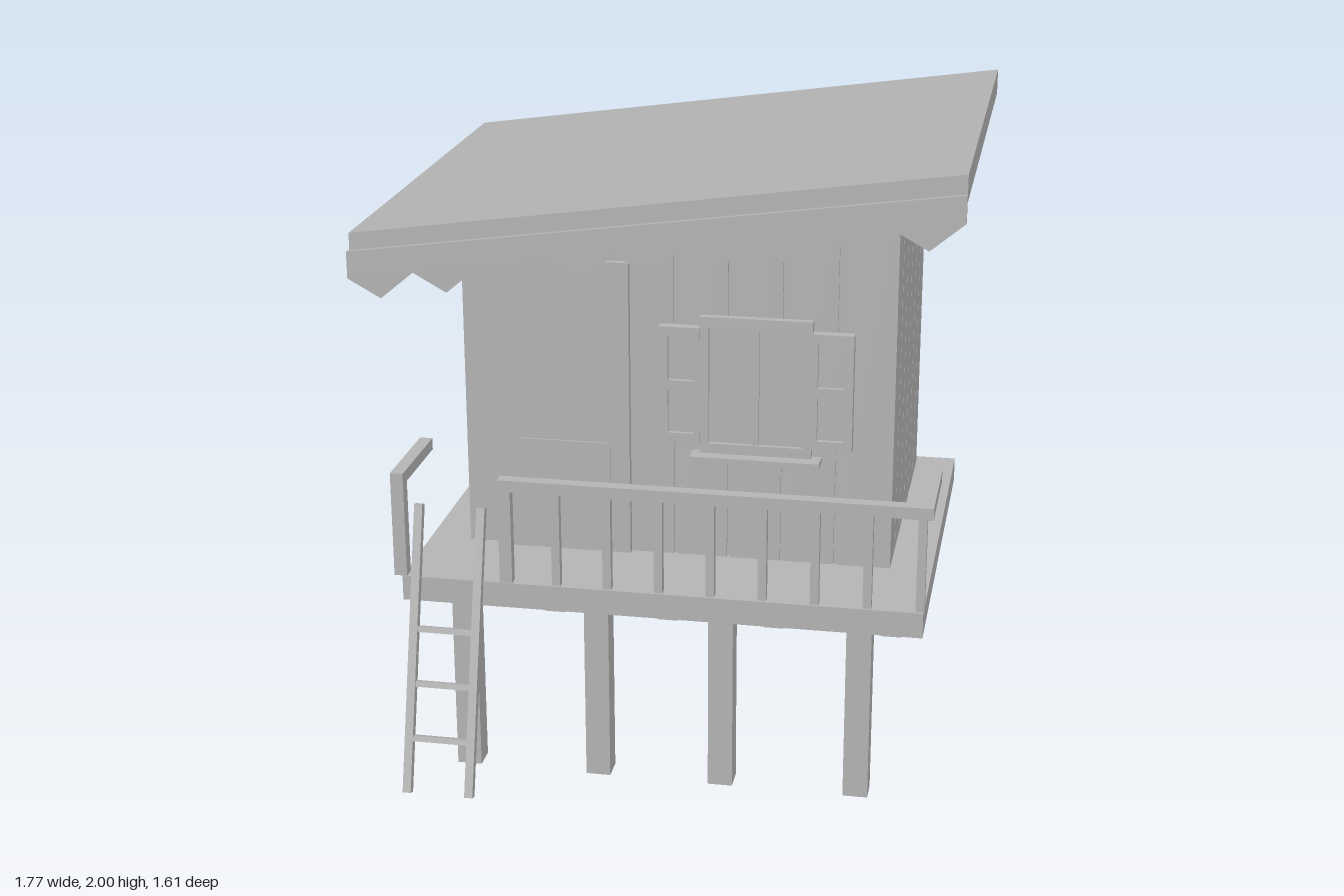
import * as THREE from 'three';

export function createModel() {
  const root = new THREE.Group();
  root.name = 'stiltCabin';
  const grey = new THREE.MeshStandardMaterial({ color: 0xb8b8b8 });
  grey.name = 'plain grey';

  const section = (name) => {
    const g = new THREE.Group();
    g.name = name;
    root.add(g);
    return g;
  };
  // Box given by its minimum and maximum on each axis
  const box = (parent, name, x0, x1, y0, y1, z0, z1) => {
    const m = new THREE.Mesh(new THREE.BoxGeometry(x1 - x0, y1 - y0, z1 - z0), grey);
    m.position.set((x0 + x1) / 2, (y0 + y1) / 2, (z0 + z1) / 2);
    m.name = name;
    parent.add(m);
    return m;
  };
  // Outline in x and y, extruded from z0 to z1
  const slab = (parent, name, points, z0, z1) => {
    const shape = new THREE.Shape(points.map(([x, y]) => new THREE.Vector2(x, y)));
    const geo = new THREE.ExtrudeGeometry(shape, { depth: z1 - z0, bevelEnabled: false });
    const m = new THREE.Mesh(geo, grey);
    m.position.z = z0;
    m.name = name;
    parent.add(m);
  };

  // Platform on eight stilts
  const base = section('platform');
  box(base, 'deck', -0.8, 0.8, 0.565, 0.645, -0.72, 0.6);
  for (const x of [-0.61, -0.195, 0.19, 0.61])
    for (const z of [0.55, -0.615])
      box(base, 'stilt', x - 0.038, x + 0.038, 0.01, 0.57, z - 0.038, z + 0.038);

  // Cabin core with planks on the front and both sides
  const cabin = section('cabin');
  const floor = 0.645, top = 1.778;
  box(cabin, 'walls', -0.66, 0.66, floor, top - 0.002, -0.665, 0.27);
  for (let i = 0; i < 8; i++) {
    const x = -0.67 + i * 0.1675;
    const end = Math.min(x + 0.1575, 0.67);
    box(cabin, 'frontPlank', x, i === 7 ? 0.67 : end, floor, top, 0.265, 0.28);
  }
  for (const s of [-1, 1])
    for (let i = 0; i < 6; i++) {
      const z = -0.665 + i * 0.1575;
      const x = s * 0.6625;
      box(cabin, 'sidePlank', x - 0.0075, x + 0.0075, floor, top, z, z + (i === 5 ? 0.1575 : 0.15));
    }

  // Sloping roof
  slab(root, 'roof', [[-0.885, 1.675], [0.885, 1.92], [0.885, 2], [-0.885, 1.752]], -0.81, 0.69);

  // Zigzag fringe under the front eave
  const teeth = 9, pitch = 1.775 / teeth;
  const fringe = [[0.885, 1.945], [-0.89, 1.7]];
  for (let i = 0; i <= teeth; i++) {
    const x = -0.89 + i * pitch, y = 1.62 + i * 0.0272;
    fringe.push([x, y]);
    if (i < teeth) fringe.push([x + pitch / 2, y - 0.055]);
  }
  slab(root, 'fringe', fringe, 0.69, 0.706);

  // Door with a raised lower panel
  const door = section('door');
  box(door, 'doorLeaf', -0.53, -0.145, floor, 1.59, 0.275, 0.302);
  box(door, 'doorPanel', -0.495, -0.205, 0.73, 1.01, 0.3, 0.308);

  // Window with frame, mullion, sill and open shutters
  const win = section('window');
  box(win, 'pane', 0.08, 0.415, 1, 1.42, 0.275, 0.29);
  box(win, 'frameTop', 0.075, 0.42, 1.4, 1.435, 0.28, 0.305);
  box(win, 'frameBottom', 0.075, 0.42, 0.99, 1.03, 0.28, 0.305);
  box(win, 'mullion', 0.237, 0.257, 1.03, 1.4, 0.28, 0.3);
  box(win, 'sill', 0.05, 0.45, 0.98, 0.998, 0.28, 0.345);
  for (const s of [-1, 1]) {
    const c = 0.2475;
    const part = (name, a, b, y0, y1, z1) =>
      box(win, name, Math.min(c + s * a, c + s * b), Math.max(c + s * a, c + s * b), y0, y1, 0.278, z1);
    part('frameSide', 0.145, 0.173, 1.03, 1.4, 0.305);
    part('shutterBoard', 0.173, 0.29, 1.04, 1.39, 0.298);
    part('shutterStile', 0.27, 0.298, 1.03, 1.4, 0.312);
    part('shutterStile', 0.172, 0.19, 1.03, 1.4, 0.312);
    for (const y of [1.03, 1.2, 1.37]) part('shutterRail', 0.19, 0.27, y, y + 0.03, 0.312);
  }

  // Railing with balusters, and short side rails
  const rail = section('railing');
  box(rail, 'frontRail', -0.492, 0.82, 0.943, 0.98, 0.56, 0.6);
  box(rail, 'rightSideRail', 0.782, 0.82, 0.943, 0.98, 0.28, 0.56);
  box(rail, 'leftSideRail', -0.825, -0.785, 0.943, 0.98, 0.28, 0.56);
  box(rail, 'leftPost', -0.825, -0.785, floor, 0.98, 0.56, 0.6);
  box(rail, 'endPost', -0.492, -0.453, floor, 0.95, 0.565, 0.598);
  for (let i = 1; i < 9; i++) {
    const x = -0.475 + i * 0.158;
    box(rail, 'baluster', x - 0.013, x + 0.013, floor, 0.95, 0.566, 0.592);
  }

  // Leaning ladder, built upright and tilted back
  const ladder = section('ladder');
  for (const x of [-0.753, -0.557]) box(ladder, 'ladderRail', x - 0.013, x + 0.013, 0, 0.895, -0.013, 0.013);
  for (const y of [0.17, 0.34, 0.51]) box(ladder, 'rung', -0.745, -0.565, y - 0.009, y + 0.009, -0.009, 0.009);
  ladder.position.set(0, 0.003, 0.79);
  ladder.rotation.x = -Math.atan2(0.245, 0.862);

  return root;
}
